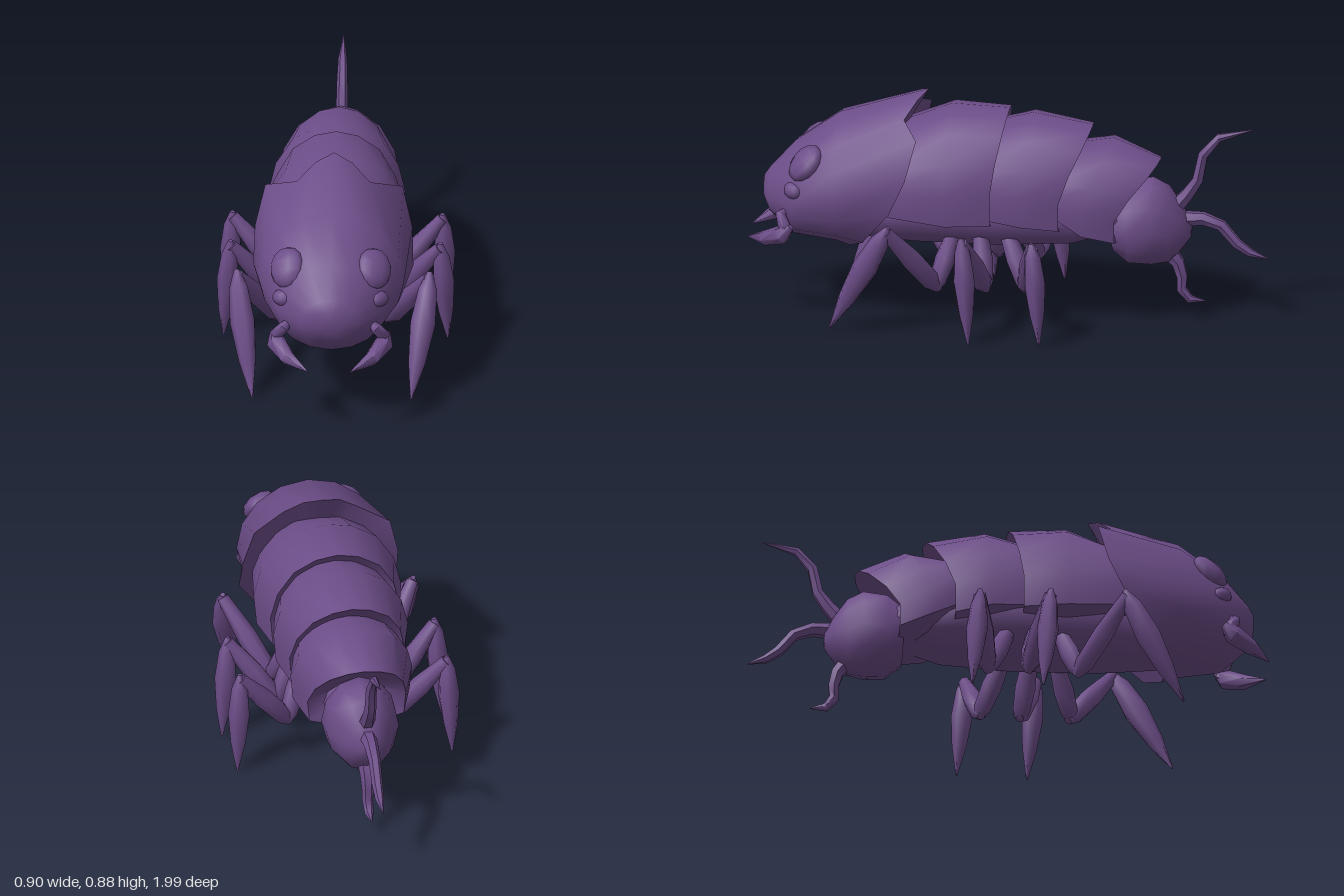
import * as THREE from 'three';
import { toCreasedNormals } from 'three/addons/utils/BufferGeometryUtils.js';

const material = new THREE.MeshStandardMaterial({ color: 0x6c4d88, side: THREE.DoubleSide });

function mesh(name, geometry) {
  const m = new THREE.Mesh(geometry, material);
  m.name = name;
  return m;
}

// Skin a list of rings (each a loop of [x, y, z]) and cap both ends;
// endCenter may pull the rear cap inwards to hollow it.
function skin(rings, endCenter, crease = 0.8) {
  const n = rings[0].length, last = (rings.length - 1) * n;
  const mean = (r) => [0, 1, 2].map((k) => r.reduce((s, p) => s + p[k], 0) / n);
  const verts = [...rings.flat(), mean(rings[0]), endCenter || mean(rings[rings.length - 1])];
  const front = last + n, back = front + 1, index = [];
  for (let j = 0; j < n; j++) {
    const k = (j + 1) % n;
    for (let o = 0; o < last; o += n) {
      index.push(o + j, o + k, o + n + j, o + k, o + n + k, o + n + j);
    }
    index.push(front, k, j, back, last + j, last + k);
  }
  const g = new THREE.BufferGeometry();
  g.setAttribute('position', new THREE.Float32BufferAttribute(verts.flat(), 3));
  g.setIndex(index);
  return toCreasedNormals(g, crease);
}

// Complete a half outline (top to bottom on +x) by mirroring it.
const mirrorRing = (half) => [...half, ...half.slice(1, -1).reverse().map(([x, y, z]) => [-x, y, z])];

// Egg-shaped cross-section.
function oval([z, w, top, bottom], steps = 8) {
  const mid = bottom + (top - bottom) * 0.45, half = [];
  for (let i = 0; i <= steps; i++) {
    const a = (Math.PI * i) / steps, c = Math.cos(a);
    half.push([w * Math.sin(a), mid + c * (c > 0 ? top - mid : mid - bottom), z]);
  }
  return mirrorRing(half);
}

// Arched back-plate cross-section; sweep draws its sides forward.
const ARCH = [[0, 1], [0.33, 0.96], [0.66, 0.83], [0.9, 0.58], [1, 0.3], [0.96, 0], [0.5, -0.08], [0, -0.1]];
const arch = ([z, w, top, bottom, sweep = 0]) => mirrorRing(ARCH.map(([u, v]) =>
  [u * w, bottom + v * (top - bottom), z + sweep * Math.min(1, (1 - v) * 1.6)]));

// Tapering limb along a path of points, with one radius per point.
function limb(path, radii, sides = 7, crease = 1) {
  const pts = path.map((p) => new THREE.Vector3(...p));
  const all = pts[pts.length - 1].clone().sub(pts[0]).normalize();
  const ref = Math.abs(all.x) < 0.7 ? new THREE.Vector3(1, 0, 0) : new THREE.Vector3(0, 1, 0);
  const rings = pts.map((p, i) => {
    const t = pts[Math.min(i + 1, pts.length - 1)].clone().sub(pts[Math.max(i - 1, 0)]).normalize();
    const v = t.clone().cross(ref).normalize(), u = v.clone().cross(t);
    return Array.from({ length: sides }, (_, j) => {
      const a = (2 * Math.PI * j) / sides;
      return p.clone().addScaledVector(u, radii[i] * Math.cos(a)).addScaledVector(v, radii[i] * Math.sin(a)).toArray();
    });
  });
  return skin(rings, null, crease);
}

// Straight spindle between two joints: stations give [fraction, radius].
function spindle(a, b, stations) {
  const path = stations.map(([f]) => a.map((c, k) => c + (b[k] - c) * f));
  return limb(path, stations.map((s) => s[1]));
}

function ellipsoid(name, pos, radii, rot) {
  const m = mesh(name, new THREE.SphereGeometry(1, 10, 7));
  m.position.set(...pos);
  m.scale.set(...radii);
  m.rotation.set(...rot);
  return m;
}

function createLeg(name, hip, elbow, knee, foot, width) {
  const leg = new THREE.Group();
  leg.name = name;
  leg.add(
    mesh('hipSegment', spindle(hip, elbow, [[0, 0.03], [0.5, 0.04], [0.9, 0.034], [1.05, 0.018]])),
    mesh('upperLeg', spindle(elbow, knee, [[-0.06, 0.016], [0.1, 0.037], [0.5, 0.04], [1, 0.024]])),
    mesh('lowerLeg', spindle(knee, foot, [[-0.05, 0.01], [0.1, width * 0.75], [0.38, width], [0.7, width * 0.68], [1, 0.004]])),
  );
  return leg;
}

// Everything on the model's left; mirrored for the right.
function createSide(name) {
  const side = new THREE.Group();
  side.name = name;
  side.add(
    createLeg('frontLeg', [0.13, 0.35, 0.2], [0.21, 0.165, 0.26], [0.365, 0.42, 0.435], [0.303, 0.012, 0.655], 0.05),
    createLeg('middleLeg', [0.14, 0.37, 0.1], [0.22, 0.17, 0.07], [0.4, 0.4, 0.14], [0.427, 0.005, 0.11], 0.042),
    createLeg('rearLeg', [0.13, 0.37, 0.0], [0.21, 0.17, -0.085], [0.4, 0.39, -0.13], [0.415, 0.008, -0.16], 0.042),
    ellipsoid('upperEye', [0.165, 0.62, 0.765], [0.072, 0.08, 0.042], [-0.75, 0.45, 0]),
    ellipsoid('lowerEye', [0.18, 0.515, 0.81], [0.045, 0.033, 0.035], [-0.2, 0.6, 0]),
    mesh('mandibleRoot', limb([[0.15, 0.43, 0.83], [0.175, 0.415, 0.86], [0.205, 0.375, 0.84], [0.2, 0.34, 0.83]],
      [0.012, 0.022, 0.026, 0.02], 6)),
    mesh('mandible', limb([[0.215, 0.38, 0.815], [0.205, 0.345, 0.85], [0.16, 0.315, 0.92], [0.082, 0.293, 0.995]],
      [0.014, 0.038, 0.03, 0.003], 6)),
  );
  return side;
}

export function createModel() {
  const model = new THREE.Group();
  model.name = 'armouredInsect';

  // Head shield with a crested, notched rear rim
  const rim = mirrorRing([[0, 0.885, 0.31], [0.07, 0.86, 0.345], [0.14, 0.8, 0.39], [0.262, 0.755, 0.33],
    [0.3, 0.6, 0.37], [0.305, 0.47, 0.43], [0.225, 0.33, 0.54], [0.12, 0.285, 0.6], [0, 0.275, 0.61]]);
  const headRings = [[0.94, 0.05, 0.52, 0.43], [0.915, 0.11, 0.555, 0.38], [0.82, 0.205, 0.66, 0.3],
    [0.65, 0.275, 0.78, 0.28]].map((r) => oval(r));
  model.add(mesh('headShield', skin([...headRings, rim], [0, 0.56, 0.5], 0.9)));

  // Overlapping back plates: [z, half width, top, bottom, sweep]
  const plates = [
    [[0.45, 0.25, 0.74, 0.44], [0.22, 0.285, 0.83, 0.42], [0, 0.25, 0.82, 0.42, 0.05]],
    [[0.12, 0.22, 0.75, 0.44], [-0.09, 0.26, 0.805, 0.42, 0.02], [-0.32, 0.222, 0.765, 0.4, 0.11]],
    [[-0.18, 0.2, 0.68, 0.45], [-0.4, 0.235, 0.715, 0.385, 0.1], [-0.58, 0.19, 0.64, 0.35, 0.16]],
  ];
  plates.forEach((p, i) => {
    const [z, , top, bottom] = p[2];
    model.add(mesh('backPlate' + (i + 1), skin(p.map(arch), [0, (top + bottom) / 2, z + 0.2])));
  });

  // Belly and tail
  model.add(mesh('belly', skin([[0.62, 0.13, 0.5, 0.3], [0.35, 0.2, 0.6, 0.285], [0.02, 0.21, 0.6, 0.285],
    [-0.25, 0.18, 0.56, 0.3], [-0.48, 0.1, 0.48, 0.37]].map((r) => oval(r, 6)))));
  model.add(mesh('tail', skin([[-0.4, 0.12, 0.5, 0.27], [-0.46, 0.145, 0.55, 0.22], [-0.55, 0.14, 0.565, 0.215],
    [-0.61, 0.11, 0.535, 0.225], [-0.66, 0.07, 0.46, 0.28], [-0.695, 0.03, 0.39, 0.33]].map((r) => oval(r, 6)))));

  // Three curling tail tendrils in the middle plane: [y, z]
  const tendrils = [
    [[0.43, -0.62], [0.5, -0.68], [0.56, -0.72], [0.66, -0.74], [0.73, -0.8], [0.765, -0.93]],
    [[0.4, -0.64], [0.405, -0.74], [0.38, -0.81], [0.31, -0.87], [0.275, -0.92], [0.252, -0.99]],
    [[0.28, -0.6], [0.225, -0.645], [0.17, -0.66], [0.12, -0.658], [0.08, -0.69], [0.075, -0.75]],
  ];
  for (const t of tendrils) {
    model.add(mesh('tailTendril', limb(t.map(([y, z]) => [0, y, z]), [0.034, 0.027, 0.023, 0.021, 0.017, 0.002], 6)));
  }

  // Legs, eyes and mandibles
  const right = createSide('rightSide');
  right.scale.x = -1;
  model.add(createSide('leftSide'), right);
  return model;
}
